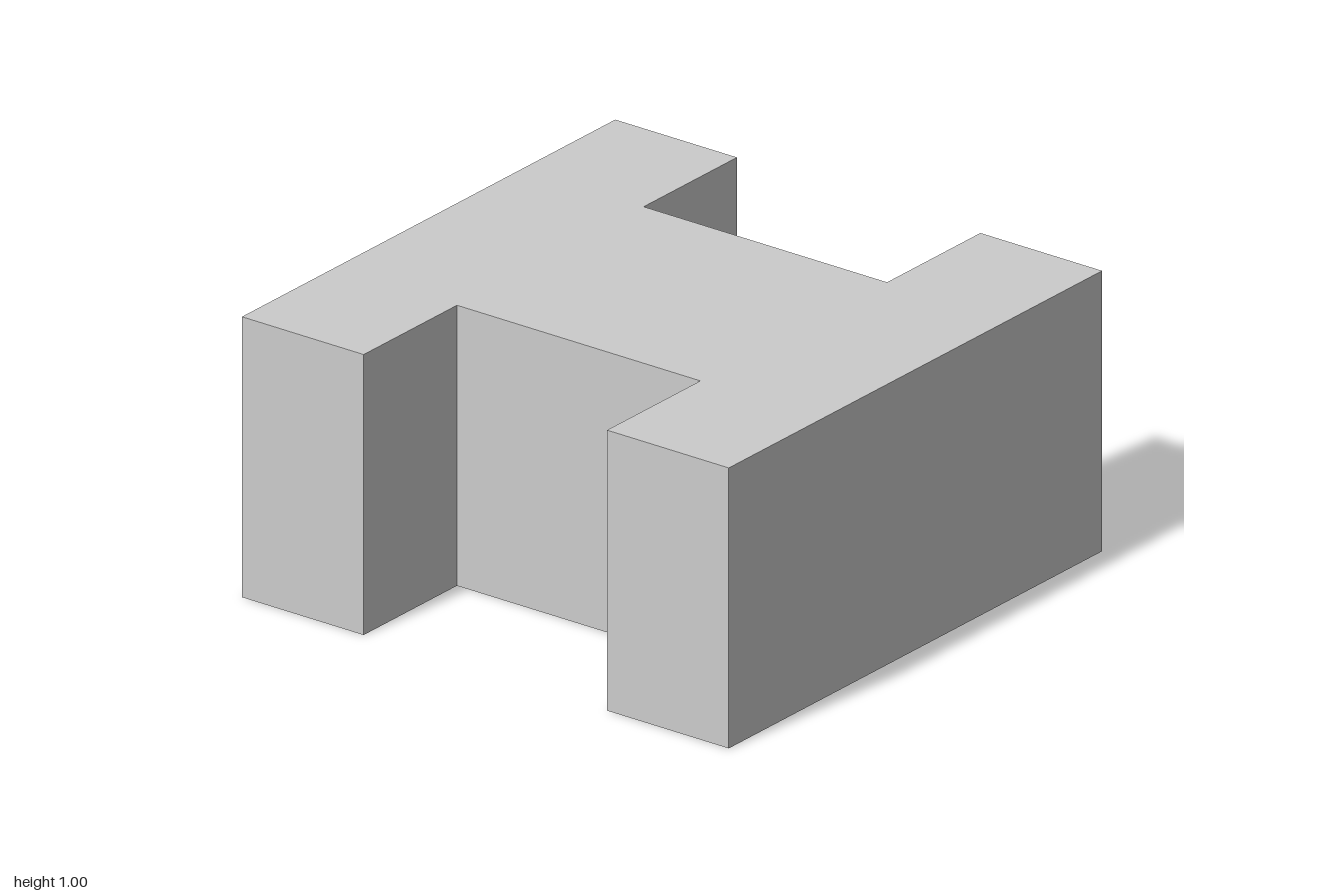
import * as THREE from 'three';

export function createModel() {
  const group = new THREE.Group();
  group.name = 'hBlock';

  // H-shaped outline, a square with a notch in the front and back sides
  const outline = [
    [-1, -1], [-0.5, -1], [-0.5, -0.5], [0.5, -0.5], [0.5, -1], [1, -1],
    [1, 1], [0.5, 1], [0.5, 0.5], [-0.5, 0.5], [-0.5, 1], [-1, 1],
  ].map(([x, y]) => new THREE.Vector2(x, y));

  // Extruded by the block height, then laid flat so it rises from y = 0
  const geometry = new THREE.ExtrudeGeometry(new THREE.Shape(outline), {
    depth: 1,
    bevelEnabled: false,
  });
  geometry.rotateX(-Math.PI / 2);

  const material = new THREE.MeshStandardMaterial({ color: 0xcccccc, flatShading: true });
  const block = new THREE.Mesh(geometry, material);
  block.name = 'block';
  group.add(block);

  return group;
}
